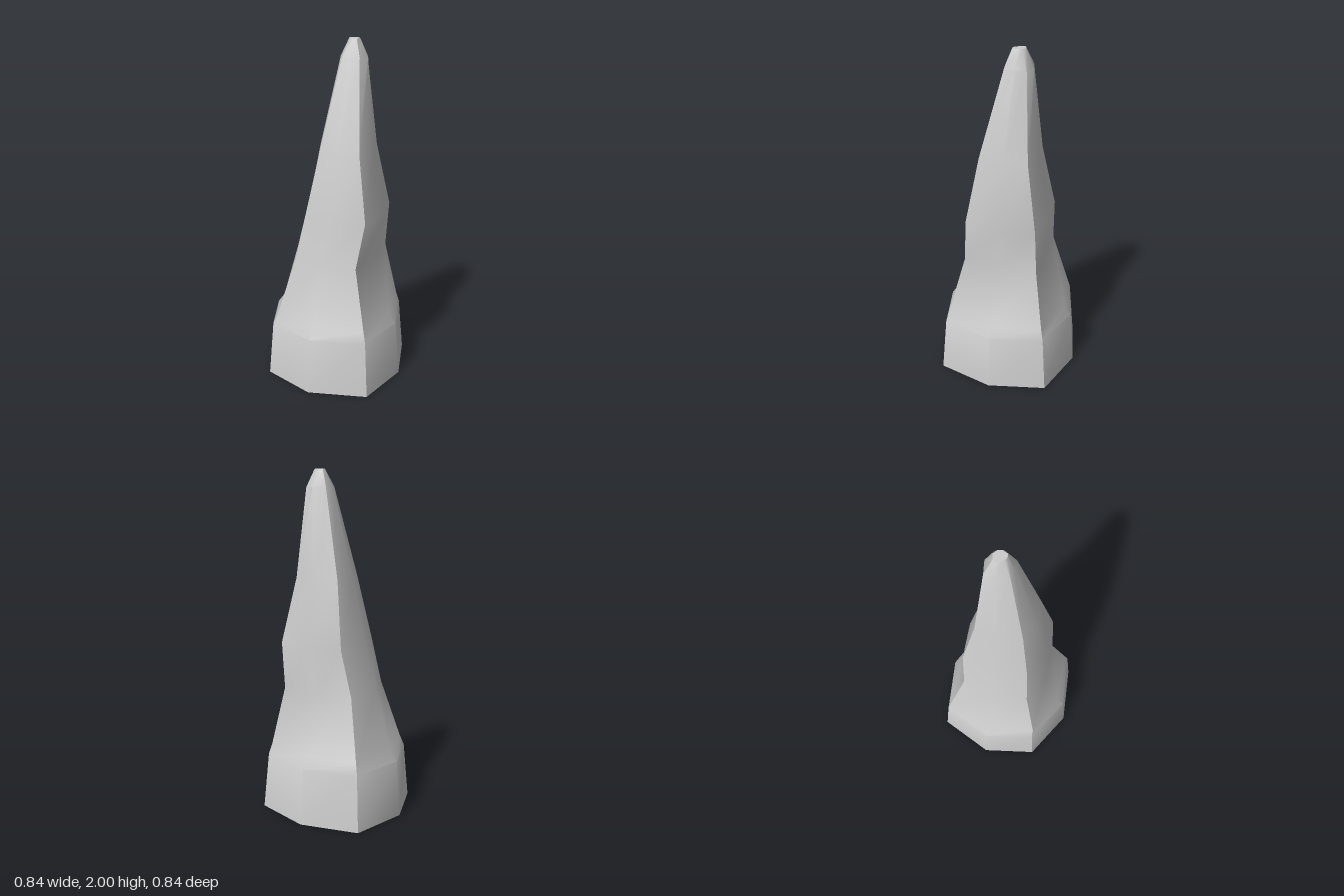
import * as THREE from 'three';
import { toCreasedNormals } from 'three/addons/utils/BufferGeometryUtils.js';

// Cross-sections from base to tip: height, then eight [x, z] corners
// going from the left side round the front, the right and the back.
const SECTIONS = [
  [0.00, [.42, 0], [.335, .332], [0, .42], [-.312, .303], [-.42, 0], [-.335, -.332], [0, -.42], [.335, -.33]],
  [0.33, [.392, 0], [.312, .308], [0, .392], [-.29, .281], [-.395, 0], [-.312, -.308], [0, -.393], [.312, -.305]],
  [0.39, [.348, 0], [.297, .294], [0, .35], [-.262, .276], [-.352, 0], [-.297, -.294], [0, -.35], [.297, -.291]],
  [0.74, [.25, 0], [.212, .212], [0, .25], [-.175, .19], [-.25, 0], [-.212, -.212], [0, -.247], [.235, -.235]],
  [1.01, [.305, -.03], [.256, .184], [.06, .22], [-.12, .165], [-.188, -.03], [-.155, -.23], [.06, -.274], [.256, -.231]],
  [1.39, [.225, -.03], [.192, .12], [.06, .143], [-.052, .105], [-.107, -.03], [-.09, -.165], [.06, -.19], [.192, -.165]],
  [1.90, [.162, -.08], [.138, -.012], [.08, .002], [.035, -.005], [0, -.075], [.005, -.136], [.08, -.16], [.138, -.136]],
  [2.00, [.116, -.076], [.106, -.046], [.086, -.041], [.068, -.05], [.046, -.088], [.048, -.103], [.08, -.114], [.104, -.102]],
];

// Lofts the sections into one closed solid
function loft(sections) {
  const n = sections[0].length - 1;
  const pos = [], index = [];
  for (const [y, ...ring] of sections) {
    for (const [x, z] of ring) pos.push(x, y, z);
  }
  for (let s = 0; s < sections.length - 1; s++) {
    for (let i = 0; i < n; i++) {
      const a = s * n + i, b = s * n + (i + 1) % n;
      index.push(a, a + n, b, b, a + n, b + n);
    }
  }
  // flat base and tip
  const top = (sections.length - 1) * n;
  for (let i = 1; i < n - 1; i++) {
    index.push(0, i, i + 1);
    index.push(top, top + i + 1, top + i);
  }
  const geometry = new THREE.BufferGeometry();
  geometry.setAttribute('position', new THREE.Float32BufferAttribute(pos, 3));
  geometry.setIndex(index);
  // sharp diagonal ridges, soft bends everywhere else
  return toCreasedNormals(geometry, 0.7);
}

export function createModel() {
  const group = new THREE.Group();
  group.name = 'rockSpire';
  const material = new THREE.MeshStandardMaterial({ color: 0xcccccc });
  const spire = new THREE.Mesh(loft(SECTIONS), material);
  spire.name = 'spire';
  group.add(spire);
  return group;
}
